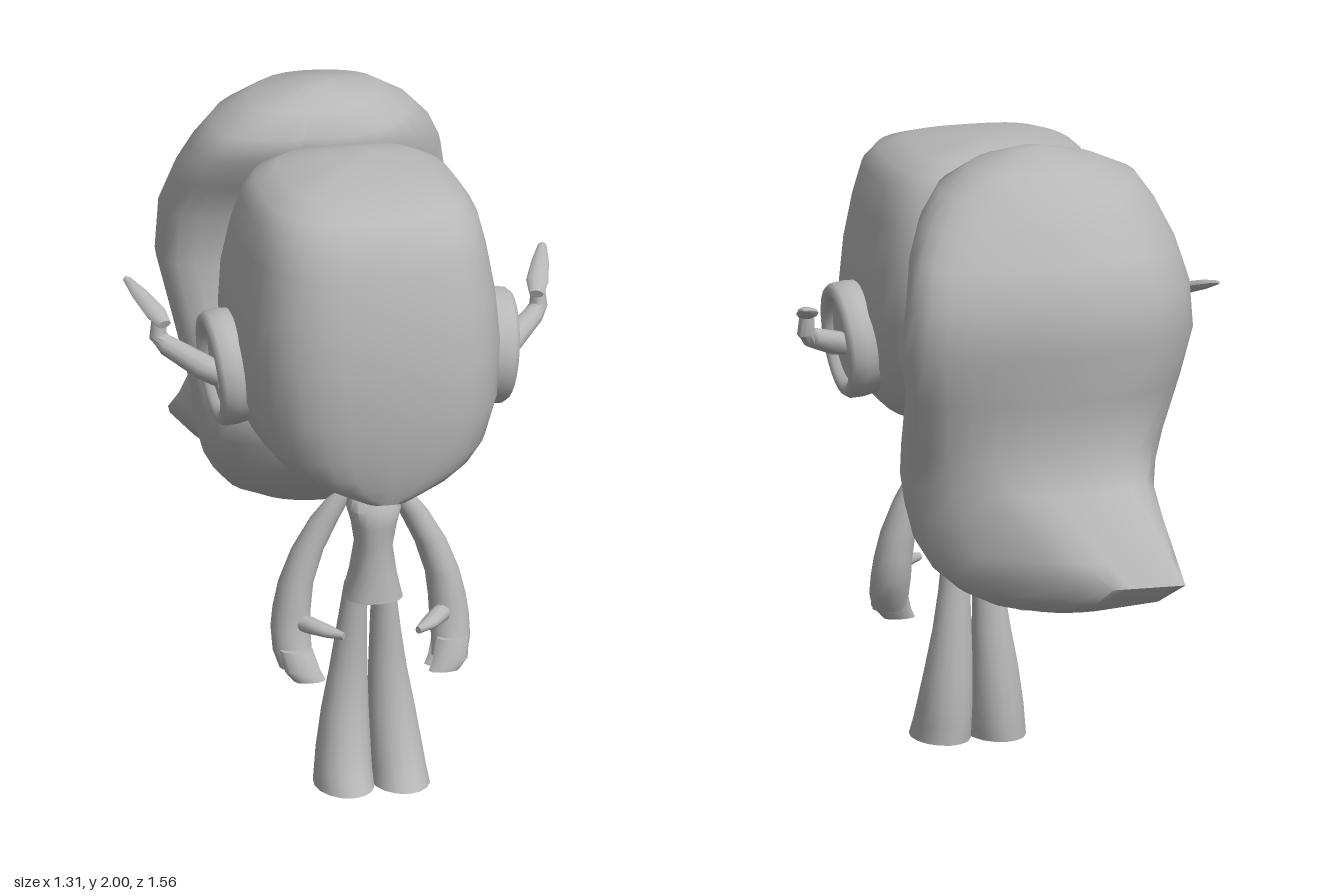
import * as THREE from 'three';
import { toCreasedNormals } from 'three/addons/utils/BufferGeometryUtils.js';

const grey = new THREE.MeshStandardMaterial({ color: 0xb8b8b8 });
grey.name = 'plain grey';

// Skin a closed surface over rings of equal length and cap both ends
function skin(rings) {
  const n = rings[0].length, pos = [], idx = [];
  rings.forEach(r => r.forEach(p => pos.push(p.x, p.y, p.z)));
  for (let j = 0; j < rings.length - 1; j++)
    for (let i = 0; i < n; i++) {
      const a = j * n + i, b = j * n + (i + 1) % n;
      idx.push(a, a + n, b, b, a + n, b + n);
    }
  [0, rings.length - 1].forEach((j, end) => {
    const c = new THREE.Vector3();
    rings[j].forEach(p => c.addScaledVector(p, 1 / n));
    const k = pos.length / 3;
    pos.push(c.x, c.y, c.z);
    for (let i = 0; i < n; i++) {
      const a = j * n + i, b = j * n + (i + 1) % n;
      if (end) idx.push(k, b, a); else idx.push(k, a, b);
    }
  });
  const g = new THREE.BufferGeometry();
  g.setAttribute('position', new THREE.Float32BufferAttribute(pos, 3));
  g.setIndex(idx);
  return g;
}

// Horizontal rounded sections, bottom to top: [y, xCentre, xRadius, zCentre, zRadius]
function stack(rows, n = 16, power = 1, bend = null) {
  const soft = v => Math.sign(v) * Math.pow(Math.abs(v), power);
  return skin(rows.map(row => Array.from({ length: n }, (_, i) => {
    const a = i / n * Math.PI * 2, [y, xc, rx, zc, rz] = row;
    const p = new THREE.Vector3(xc + rx * soft(Math.cos(a)), y, zc + rz * soft(Math.sin(a)));
    if (bend) bend(p, a, row);
    return p;
  })));
}

// Tapered limb along points: [x, y, z, sideRadius, otherRadius]
function limb(points, n = 10) {
  const at = points.map(p => new THREE.Vector3(p[0], p[1], p[2]));
  return skin(points.map((p, j) => {
    const t = at[Math.min(j + 1, at.length - 1)].clone().sub(at[Math.max(j - 1, 0)]).normalize();
    const u = new THREE.Vector3(1, 0, 0).addScaledVector(t, -t.x).normalize();
    const v = u.clone().cross(t);
    return Array.from({ length: n }, (_, i) => {
      const a = i / n * Math.PI * 2;
      return at[j].clone().addScaledVector(u, Math.cos(a) * p[3]).addScaledVector(v, Math.sin(a) * p[4]);
    });
  }));
}

function mirrored(geometry) {
  const g = geometry.clone().scale(-1, 1, 1);
  g.setIndex(Array.from(g.index.array).reverse());
  return g;
}

export function createModel() {
  const model = new THREE.Group();
  model.name = 'bigHeadedFigure';
  const add = (name, geometry, crease = 0.9) => {
    const mesh = new THREE.Mesh(toCreasedNormals(geometry, crease), grey);
    mesh.name = name;
    model.add(mesh);
  };
  const pair = (name, geometry, crease) => {
    add(name + 'Left', geometry, crease);
    add(name + 'Right', mirrored(geometry), crease);
  };
  // Turn [y, back z, front z, left x, right x] limits into a section
  const limits = ([y, z0, z1, x0, x1, ...rest]) =>
    [y, (x0 + x1) / 2, (x1 - x0) / 2, (z0 + z1) / 2, (z1 - z0) / 2, ...rest];

  // Head: boxy and rounded, with a shallow chin
  add('head', stack([
    [0.98, 0.48, 0.73, -0.08, 0.08],
    [1.00, 0.38, 0.737, -0.14, 0.14],
    [1.03, 0.26, 0.745, -0.22, 0.22],
    [1.07, 0.12, 0.755, -0.29, 0.29],
    [1.13, 0.00, 0.765, -0.345, 0.345],
    [1.25, -0.07, 0.78, -0.385, 0.385],
    [1.42, -0.135, 0.775, -0.40, 0.40],
    [1.56, -0.135, 0.755, -0.39, 0.39],
    [1.70, -0.09, 0.72, -0.365, 0.365],
    [1.80, -0.04, 0.68, -0.34, 0.34],
    [1.855, -0.01, 0.63, -0.30, 0.30],
    [1.89, 0.05, 0.52, -0.23, 0.23],
    [1.92, 0.16, 0.34, -0.08, 0.08],
  ].map(limits), 32, 0.64), 1.2);

  // Hair: one swept mass whose lower back is drawn out to a flick; last value is the flick length
  add('hair', stack([
    [0.63, -0.38, -0.26, -0.06, 0.08, 0],
    [0.655, -0.56, -0.18, -0.18, 0.18, 0.05],
    [0.70, -0.60, -0.11, -0.27, 0.27, 0.13],
    [0.76, -0.60, -0.03, -0.32, 0.34, 0.18],
    [0.83, -0.59, 0.04, -0.36, 0.38, 0.14],
    [0.93, -0.58, 0.09, -0.39, 0.40, 0.09],
    [1.02, -0.58, 0.12, -0.40, 0.41, 0.04],
    [1.12, -0.58, 0.07, -0.42, 0.415, 0],
    [1.30, -0.61, -0.08, -0.455, 0.43, 0],
    [1.45, -0.63, -0.12, -0.49, 0.455, 0],
    [1.60, -0.65, -0.12, -0.475, 0.44, 0],
    [1.72, -0.59, -0.05, -0.445, 0.41, 0],
    [1.82, -0.53, 0.01, -0.40, 0.36, 0],
    [1.90, -0.47, 0.03, -0.345, 0.29, 0],
    [1.96, -0.40, -0.05, -0.22, 0.19, 0],
    [2.00, -0.24, -0.16, -0.06, 0.03, 0],
  ].map(limits), 28, 0.95, (p, a, row) => {
    // The mass sits further back on its left side than on its right
    p.z -= 0.19 * p.x * Math.cos(a) ** 2;
    // Draw the back towards a blunt edge right of the middle
    const pull = THREE.MathUtils.smoothstep(-Math.sin(a), 0.5, 0.9) * row[5] / 0.18;
    p.z += (-0.78 - p.z) * pull;
    p.x += (-0.235 - p.x * 0.25) * pull;
  }), 1.2);

  // Round ear pads with a raised rim, tipped slightly downwards
  const pad = new THREE.LatheGeometry([
    [0.0001, -0.06], [0.17, -0.06], [0.178, 0], [0.176, 0.04], [0.165, 0.055],
    [0.147, 0.058], [0.132, 0.048], [0.125, 0.028], [0.0001, 0.028],
  ].map(p => new THREE.Vector2(...p)), 28);
  pad.rotateZ(-Math.PI / 2 - 0.11).translate(0.405, 1.305, 0.305);
  pair('earPad', pad, 0.9);

  // Bent stalk ending in a flat blade on each ear pad
  pair('earStalk', limb([
    [0.42, 1.28, 0.34, 0.035, 0.034],
    [0.47, 1.30, 0.29, 0.042, 0.036],
    [0.565, 1.345, 0.20, 0.032, 0.03],
    [0.588, 1.37, 0.175, 0.028, 0.028],
    [0.585, 1.43, 0.175, 0.022, 0.024],
  ]));
  pair('earBlade', limb([
    [0.575, 1.415, 0.205, 0.022, 0.014],
    [0.59, 1.435, 0.15, 0.034, 0.018],
    [0.62, 1.465, 0.06, 0.026, 0.015],
    [0.642, 1.487, -0.01, 0.013, 0.007],
    [0.645, 1.49, -0.02, 0.004, 0.003],
  ]));

  // Neck and fitted tunic
  add('neck', limb([
    [0, 0.90, 0.505, 0.035, 0.035],
    [0, 0.95, 0.485, 0.027, 0.025],
    [0, 1.03, 0.44, 0.027, 0.025],
  ]));
  add('torso', stack([
    [0.61, 0, 0.09, 0.505, 0.095],
    [0.69, 0, 0.07, 0.51, 0.085],
    [0.78, 0, 0.056, 0.515, 0.075],
    [0.85, 0, 0.068, 0.518, 0.08],
    [0.90, 0, 0.083, 0.517, 0.08],
    [0.94, 0, 0.072, 0.505, 0.06],
    [0.95, 0, 0.04, 0.50, 0.04],
  ], 16, 0.85));

  // Flared legs touching along the middle
  pair('leg', stack([
    [0, 0.086, 0.09, 0.49, 0.135],
    [0.05, 0.083, 0.086, 0.472, 0.117],
    [0.10, 0.080, 0.083, 0.459, 0.102],
    [0.22, 0.071, 0.073, 0.442, 0.074],
    [0.34, 0.061, 0.060, 0.440, 0.055],
    [0.46, 0.053, 0.049, 0.445, 0.045],
    [0.64, 0.042, 0.035, 0.465, 0.04],
  ]));

  // Bowed arms widening towards mitten hands
  pair('arm', stack([
    [0.40, 0.235, 0.054, 0.512, 0.05],
    [0.45, 0.245, 0.060, 0.488, 0.06],
    [0.51, 0.245, 0.061, 0.467, 0.063],
    [0.57, 0.240, 0.058, 0.460, 0.063],
    [0.65, 0.226, 0.053, 0.455, 0.059],
    [0.75, 0.190, 0.049, 0.453, 0.050],
    [0.85, 0.137, 0.044, 0.457, 0.039],
    [0.91, 0.098, 0.036, 0.465, 0.03],
    [0.945, 0.072, 0.018, 0.475, 0.016],
  ]));
  for (const [name, z] of [['frontFinger', 0.567], ['backFinger', 0.507]])
    pair(name, stack([
      [0.37, 0.207, 0.048, z, 0.026],
      [0.40, 0.228, 0.054, z - 0.01, 0.032],
      [0.46, 0.242, 0.050, z - 0.035, 0.032],
    ], 10));
  pair('thumb', limb([
    [0.235, 0.53, 0.47, 0.03, 0.025],
    [0.20, 0.535, 0.53, 0.03, 0.026],
    [0.155, 0.53, 0.585, 0.026, 0.018],
    [0.115, 0.525, 0.62, 0.01, 0.012],
  ]));

  return model;
}
